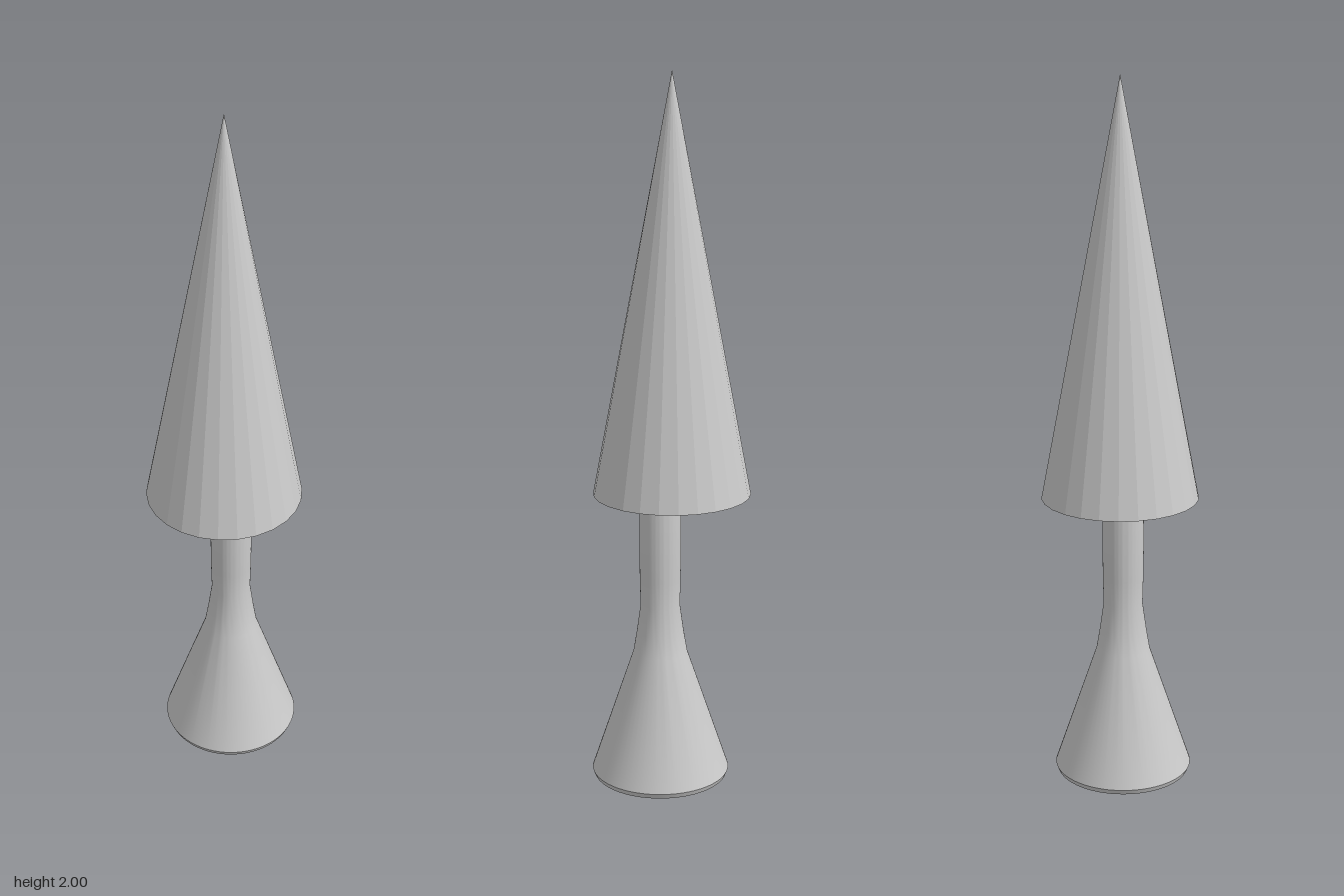
import * as THREE from 'three';
import { toCreasedNormals } from 'three/addons/utils/BufferGeometryUtils.js';

export function createModel() {
  const group = new THREE.Group();
  const smooth = new THREE.MeshStandardMaterial({ color: 0xcccccc });
  const faceted = new THREE.MeshStandardMaterial({ color: 0xcccccc, flatShading: true });

  // Flared foot with a bevelled rim, narrowing into a slightly swollen stem
  const profile = [
    [0, 0], [0.191, 0], [0.197, 0.015], [0.077, 0.37], [0.067, 0.43], [0.056, 0.51],
    [0.058, 0.59], [0.059, 0.7], [0.058, 0.78], [0.056, 0.84], [0, 0.84],
  ].map(([r, y]) => new THREE.Vector2(r, y));
  const stem = new THREE.Mesh(
    toCreasedNormals(new THREE.LatheGeometry(profile, 64), Math.PI / 6), smooth);
  stem.name = 'flaredStem';
  stem.position.set(0.025, 0, 0.01);
  group.add(stem);

  // Tall faceted cone with a closed base, set slightly off the stem's axis
  const height = 1.16;
  const cone = new THREE.Mesh(new THREE.ConeGeometry(0.221, height, 26), faceted);
  cone.name = 'coneTop';
  cone.position.set(-0.006, 2 - height / 2, -0.002);
  group.add(cone);

  return group;
}
